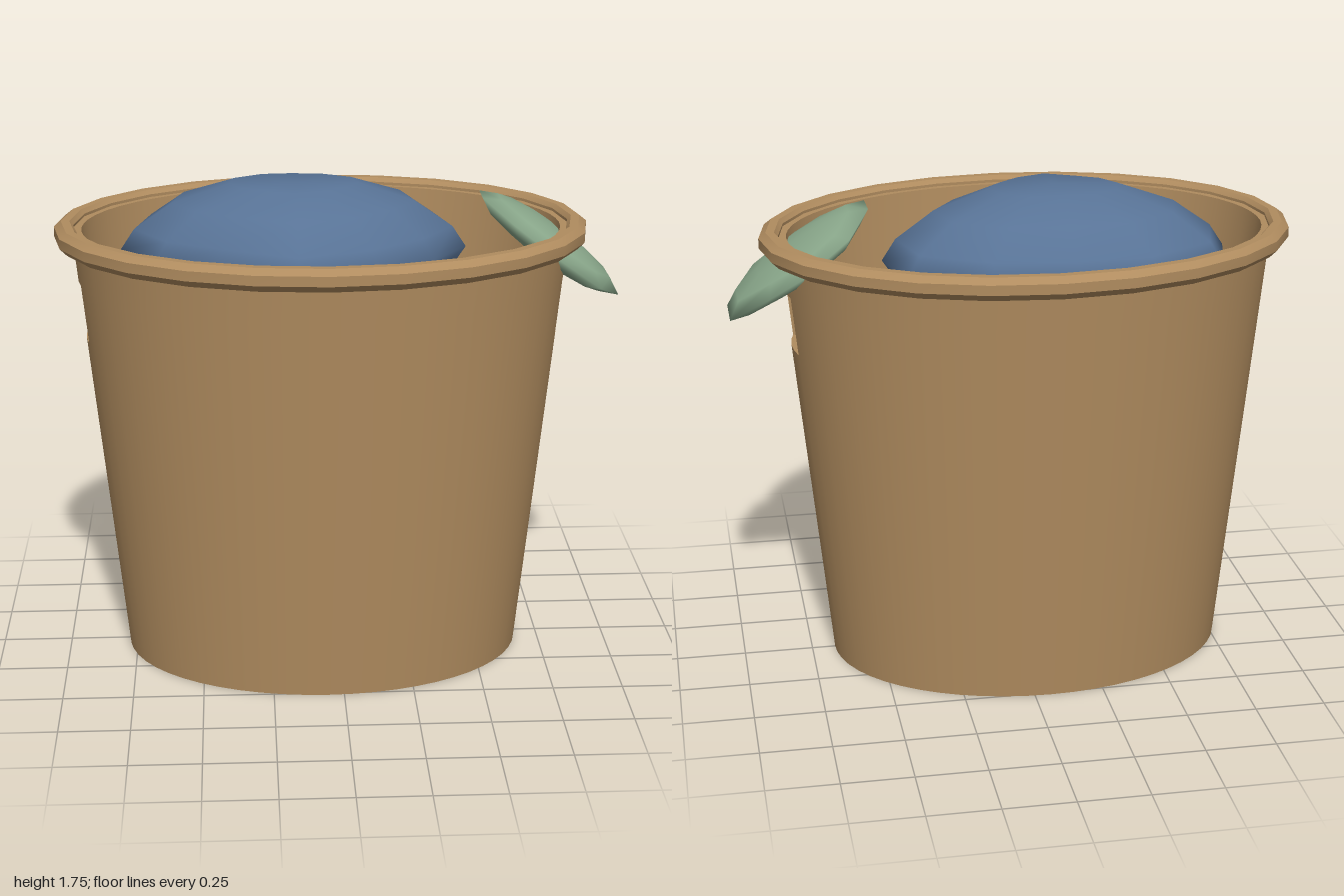
import * as THREE from 'three';
import { mergeVertices, toCreasedNormals } from 'three/addons/utils/BufferGeometryUtils.js';

const tan = new THREE.MeshStandardMaterial({ color: 0xb08c5f });
tan.name = 'tan plastic';
const blue = new THREE.MeshStandardMaterial({ color: 0x587396 });
blue.name = 'blue cloth';
const green = new THREE.MeshStandardMaterial({ color: 0x8ba98c });
green.name = 'green cloth';

const CX = -0.057; // basket axis

// Skin over rows of [x, y, z] points; rows running up give outward faces.
function skin(rows, crease, skip = () => false) {
  const n = rows[0].length;
  const index = [];
  for (let i = 0; i < rows.length - 1; i++) {
    for (let j = 0; j < n - 1; j++) {
      if (skip(i, j)) continue;
      const a = i * n + j, b = a + 1, c = a + n, d = c + 1;
      index.push(a, c, b, b, c, d);
    }
  }
  const geo = new THREE.BufferGeometry();
  geo.setAttribute('position', new THREE.Float32BufferAttribute(rows.flat(2), 3));
  geo.setIndex(index);
  return toCreasedNormals(mergeVertices(geo), crease);
}

function part(name, geo, material) {
  const mesh = new THREE.Mesh(geo, material);
  mesh.name = name;
  return mesh;
}

const ellipsePoint = (a, rx, rz, y) => [CX + rx * Math.cos(a), y, rz * Math.sin(a)];

// Point on the tapered wall, moved inward by inset
const wallPoint = (a, y, inset) =>
  ellipsePoint(a, 0.722 + 0.1 * y - inset, 0.515 + 0.079 * y - inset, y);

// Soft bundle: an outline scaled ring by ring from bottom to top
function bundle(outline, rings, cx, cz) {
  const loop = [...outline, outline[0]];
  return skin(rings.map(([s, y]) =>
    loop.map(([x, z]) => [cx + (x - cx) * s, y, cz + (z - cz) * s])), 3);
}

function createBasket() {
  const basket = new THREE.Group();
  basket.name = 'basket';

  // Wall angles, with a fine span for the hand hole at each end
  const half = 0.191, holeSteps = 4, sideSteps = 24;
  const angles = [];
  for (const start of [0, Math.PI]) {
    for (let i = 0; i < holeSteps; i++) angles.push(start - half + (2 * half * i) / holeSteps);
    for (let i = 0; i < sideSteps; i++) {
      angles.push(start + half + ((Math.PI - 2 * half) * i) / sideSteps);
    }
  }
  angles.push(2 * Math.PI - half);

  // Double-walled shell with floor
  const t = 0.035, low = 1.2, high = 1.41, top = 1.59;
  const centre = (y) => angles.map(() => [CX, y, 0]);
  const rows = [
    centre(0),
    ...[[0, 0], [low, 0], [high, 0], [top, 0], [top, t], [high, t], [low, t], [0.03, t]]
      .map(([y, inset]) => angles.map((a) => wallPoint(a, y, inset))),
    centre(0.03),
  ];
  const isHole = (i, j) => (i === 2 || i === 6) && j % (holeSteps + sideSteps) < holeSteps;
  basket.add(part('basketShell', skin(rows, 0.5, isHole), tan));

  // Edges lining the two hand holes
  for (const start of [0, Math.PI]) {
    const edge = [];
    for (let i = 0; i <= holeSteps; i++) edge.push([start - half + (2 * half * i) / holeSteps, low]);
    for (let i = holeSteps; i >= 0; i--) edge.push([start - half + (2 * half * i) / holeSteps, high]);
    edge.push(edge[0]);
    const lining = [0, t].map((inset) => edge.map(([a, y]) => wallPoint(a, y, inset)));
    basket.add(part(start ? 'rightHandHole' : 'leftHandHole', skin(lining, 0.5), tan));
  }

  // Bevelled rim
  const profile = [
    [0.06, 1.56], [0.06, 1.595], [0.035, 1.615], [0.005, 1.615],
    [-0.008, 1.6], [-0.008, 1.55], [0, 1.535], [0.035, 1.535], [0.06, 1.56],
  ];
  const rimRows = profile.map(([d, y]) => Array.from({ length: 25 }, (_, i) =>
    ellipsePoint((i % 24) * Math.PI / 12, 0.883 + d, 0.64 + d, y)));
  basket.add(part('rim', skin(rimRows, 0.5), tan));
  return basket;
}

export function createModel() {
  const model = new THREE.Group();
  model.name = 'laundryBasket';
  model.add(createBasket());

  // Large bundle inside the basket
  const blueOutline = [
    [0.46, -0.02], [0.33, 0.17], [0.13, 0.33], [-0.15, 0.43], [-0.43, 0.29], [-0.64, 0.17],
    [-0.77, -0.03], [-0.71, -0.27], [-0.45, -0.42], [-0.16, -0.44], [0.14, -0.4], [0.4, -0.26],
  ];
  const blueRings = [
    [0, 1.3], [0.35, 1.31], [0.65, 1.34], [0.9, 1.41], [1, 1.5],
    [0.92, 1.575], [0.7, 1.67], [0.37, 1.74], [0, 1.745],
  ];
  model.add(part('blueLaundry', bundle(blueOutline, blueRings, -0.155, 0), blue));

  // Small cloth hanging over the left rim
  const greenOutline = [
    [0.31, 0.07], [0.2, 0.22], [0, 0.235], [-0.17, 0.18], [-0.3, 0.07],
    [-0.3, -0.05], [-0.2, -0.21], [0, -0.255], [0.14, -0.2], [0.31, -0.11],
  ];
  const greenRings = [
    [0, -0.06], [0.45, -0.052], [0.8, -0.032], [1, 0], [0.8, 0.032], [0.45, 0.052], [0, 0.06],
  ];
  const cloth = part('greenCloth', bundle(greenOutline, greenRings, 0, 0), green);
  cloth.position.set(0.75, 1.52, 0);
  cloth.rotation.z = -0.628;
  model.add(cloth);
  return model;
}
